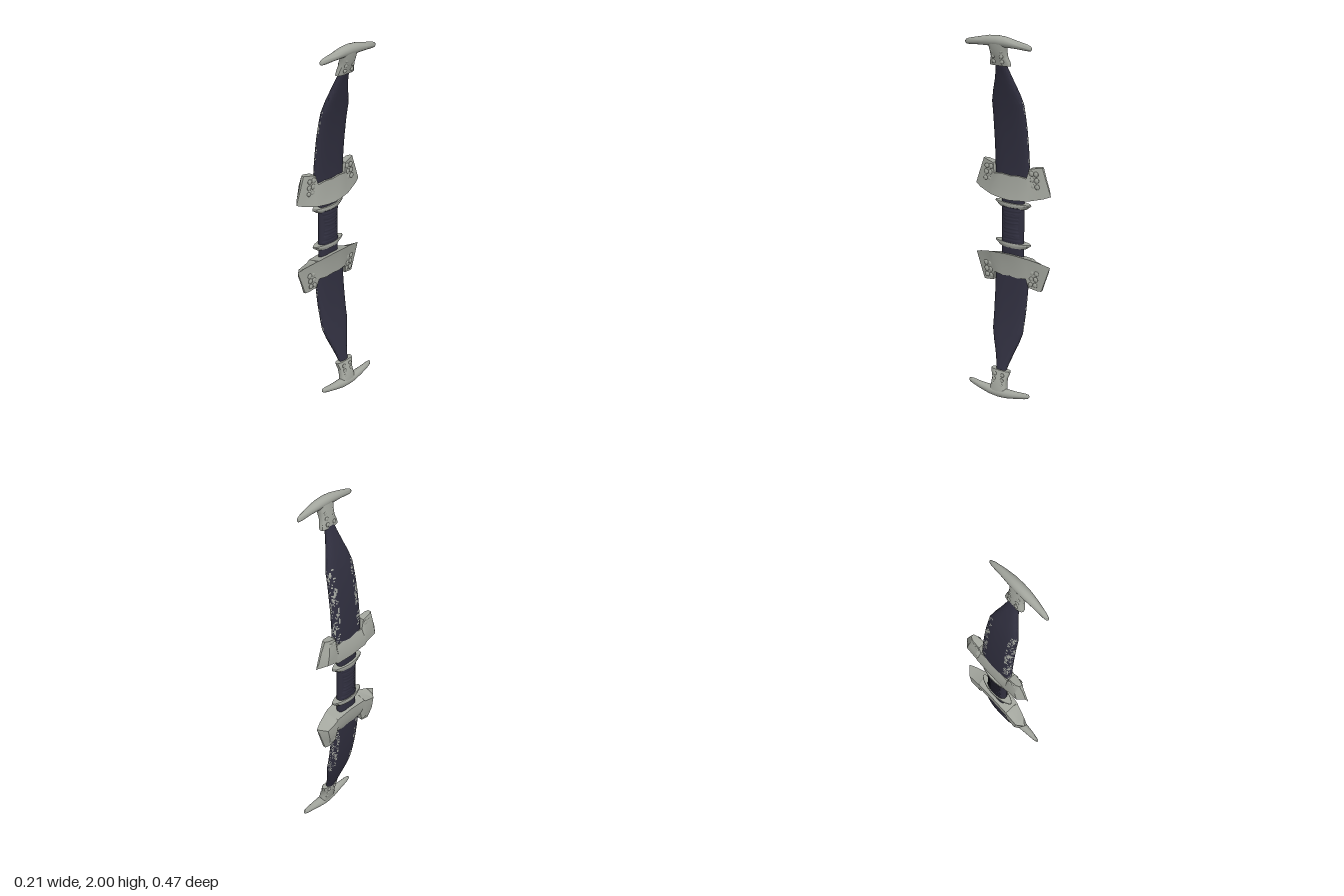
import * as THREE from 'three';
import { toCreasedNormals } from 'three/addons/utils/BufferGeometryUtils.js';

const dark = new THREE.MeshStandardMaterial({ color: 0x302f3f });
dark.name = 'dark navy';
const grey = new THREE.MeshStandardMaterial({ color: 0xa3a69e });
grey.name = 'stone grey';

let seed = 7;
const rand = () => (seed = (seed * 16807) % 2147483647) / 2147483647;
const V = (x, y, z) => new THREE.Vector3(x, y, z);
const spow = (v, e) => Math.sign(v) * Math.abs(v) ** e;

// Capped skin over closed rings of points; paint(i, j) picks the second material.
function loft(name, rings, material, crease = 0.7, paint = null) {
  const lists = [[], []];
  let volume = 0;
  const tri = (k, a, b, c) => {
    lists[k].push([a, b, c]);
    volume += a.dot(b.clone().cross(c));
  };
  const n = rings[0].length;
  for (let i = 0; i < rings.length - 1; i++) {
    for (let j = 0; j < n; j++) {
      const a = rings[i][j], b = rings[i][(j + 1) % n];
      const c = rings[i + 1][(j + 1) % n], d = rings[i + 1][j];
      tri(paint && paint(i, j) ? 1 : 0, a, b, c);
      tri(paint && paint(i, j) ? 1 : 0, a, c, d);
    }
  }
  const cap = (ring, flip) => {
    const mid = ring.reduce((s, p) => s.add(p), V(0, 0, 0)).divideScalar(n);
    ring.forEach((p, j) => {
      const q = ring[(j + 1) % n];
      if (flip) tri(0, mid, q, p); else tri(0, mid, p, q);
    });
  };
  cap(rings[0], true);
  cap(rings[rings.length - 1], false);

  const all = [...lists[0], ...lists[1]];
  const pos = all.flatMap(([a, b, c]) => (volume < 0 ? [a, c, b] : [a, b, c]).flatMap((p) => [p.x, p.y, p.z]));
  let geo = new THREE.BufferGeometry();
  geo.setAttribute('position', new THREE.Float32BufferAttribute(pos, 3));
  geo = toCreasedNormals(geo, crease);
  if (paint) {
    geo.addGroup(0, lists[0].length * 3, 0);
    geo.addGroup(lists[0].length * 3, lists[1].length * 3, 1);
  }
  const mesh = new THREE.Mesh(geo, paint ? [material, grey] : material);
  mesh.name = name;
  return mesh;
}

// Interpolates rows of [key, ...values] by key.
function sample(rows, key) {
  let i = 0;
  while (i < rows.length - 2 && key > rows[i + 1][0]) i++;
  const [a, b] = [rows[i], rows[i + 1]];
  const t = THREE.MathUtils.clamp((key - a[0]) / (b[0] - a[0]), 0, 1);
  return a.map((v, k) => v + (b[k] - v) * t);
}

// Horizontal rounded section
const oval = (cx, y, hx, hz, n = 24, e = 1) => Array.from({ length: n }, (_, j) => {
  const t = (j / n) * Math.PI * 2;
  return V(cx + hx * spow(Math.cos(t), e), y, hz * spow(Math.sin(t), e));
});

// Limb: y, half thickness, half width
const limbShape = [[1.14, 0.024, 0.104], [1.3, 0.024, 0.104], [1.5, 0.024, 0.1], [1.64, 0.024, 0.094],
  [1.7, 0.023, 0.077], [1.76, 0.021, 0.055], [1.82, 0.018, 0.036], [1.87, 0.016, 0.026], [1.91, 0.014, 0.02]];
const limbPath = new THREE.CatmullRomCurve3([V(-0.067, 1.1, 0), V(-0.063, 1.3, 0), V(-0.043, 1.5, 0),
  V(-0.015, 1.65, 0), V(0.022, 1.78, 0), V(0.05, 1.86, 0), V(0.066, 1.92, 0)]);
const pathPoints = limbPath.getPoints(120).map((p) => [p.y, p.x]);

function limb(name, flip, start) {
  const rows = 100, n = 48, ys = [], rings = [];
  for (let i = 0; i <= rows; i++) {
    const y = start + (1.91 - start) * (i / rows);
    const [, hx, hz] = sample(limbShape, y);
    ys.push(y);
    rings.push(oval(sample(pathPoints, y)[1], flip(y), hx, hz, n, 0.72));
  }
  // Worn pale flecks along the two rounded outer edges
  const flecks = ys.map((y) => Array.from({ length: n }, (_, j) => {
    const t = ((j + 0.5) / n) * Math.PI * 2;
    const edge = Math.cos(t) < 0.15 && Math.cos(t) > -0.85;
    const clump = 0.3 + 0.25 * Math.sin(y * 43 + 2 * Math.sin(t * 3)) + 0.1 * Math.sin(y * 97 + t * 9);
    return edge && y < 1.66 && rand() < clump;
  }));
  return loft(name, rings, dark, 0.9, (i, j) => flecks[i][j]);
}

// Guard stations: bottom z, top z, bottom y, top y, back x, lower front x, upper front x
const guardHalf = [
  [0.234, 0.182, 1.16, 1.308, -0.073, -0.064, -0.062],
  [0.196, 0.162, 1.145, 1.306, -0.105, -0.05, -0.054],
  [0.125, 0.112, 1.127, 1.295, -0.105, -0.03, -0.046],
  [0.112, 0.1, 1.125, 1.243, -0.105, -0.026, -0.036],
  [0.05, 0.05, 1.118, 1.25, -0.105, -0.018, -0.032]];
const guardCentre = [0, 0, 1.115, 1.245, -0.105, -0.015, -0.031];

function guard(name, flip) {
  const mirrored = guardHalf.map(([a, b, ...r]) => [-a, -b, ...r]).reverse();
  const rings = [...guardHalf, guardCentre, ...mirrored].map(([zb, zt, yb, yt, xb, xf, xt]) => {
    const h = yt - yb;
    const at = (x, k) => V(x, flip(yb + h * k), zb + (zt - zb) * k);
    return [at(xb, 0.2), at(xf, 0), at((xf + 2 * xt) / 3, 0.4), at(xt, 1), at((xb + 0.09) * 0.3 - 0.083, 1), at(xb, 0.6)];
  });
  const group = new THREE.Group();
  group.name = name;
  group.add(loft(name + 'Plate', rings, grey, 0.6));
  // Carved lumps on both faces of the wings
  for (const s of [-1, 1]) for (let r = 0; r < 3; r++) for (let c = 0; c < 2; c++) {
    const bump = new THREE.Mesh(new THREE.IcosahedronGeometry(0.015, 1), grey);
    bump.name = 'carvedLump';
    bump.scale.set(0.4, 0.8 + rand() * 0.3, 1);
    bump.position.set(-0.047, flip(1.205 + r * 0.034), s * (0.133 + c * 0.028 - r * 0.004));
    bump.rotation.x = rand() * 3;
    const back = bump.clone();
    back.position.x = -0.099 + r * 0.004;
    group.add(bump, back);
  }
  return group;
}

// Tip: carved socket and curved crossbar
const socketShape = [[1.845, 0.05, 0.019, 0.06], [1.865, 0.054, 0.022, 0.056], [1.89, 0.06, 0.025, 0.046],
  [1.925, 0.07, 0.028, 0.046], [1.965, 0.077, 0.026, 0.055]];
// |z|, low y, high y, low x, high x
const barShape = [[0, 1.943, 2, 0.05, 0.105], [0.05, 1.943, 1.996, 0.052, 0.104], [0.11, 1.942, 1.983, 0.058, 0.098],
  [0.17, 1.937, 1.97, 0.062, 0.088], [0.19, 1.938, 1.962, 0.066, 0.082], [0.196, 1.944, 1.956, 0.07, 0.077]];

function tip(name, flip) {
  const group = new THREE.Group();
  group.name = name;
  const socket = socketShape.map(([y, cx, hx, hz]) => oval(cx, flip(y), hx, hz, 16, 0.7));
  const stations = [...barShape, ...barShape.slice(1).map(([z, ...r]) => [-z, ...r])].sort((a, b) => a[0] - b[0]);
  const bar = stations.map(([z, y0, y1, x0, x1]) => Array.from({ length: 16 }, (_, j) => {
    const t = (j / 16) * Math.PI * 2;
    return V((x0 + x1) / 2 + ((x1 - x0) / 2) * Math.cos(t), flip((y0 + y1) / 2 + ((y1 - y0) / 2) * Math.sin(t)), z);
  }));
  group.add(loft('tipSocket', socket, grey), loft('tipCrossbar', bar, grey, 1));
  for (const s of [-1, 1]) for (let r = 0; r < 3; r++) for (const side of [-1, 1]) {
    const lump = new THREE.Mesh(new THREE.IcosahedronGeometry(0.012, 1), grey);
    lump.name = 'socketLump';
    lump.scale.x = 0.5;
    lump.position.set(0.055 + r * 0.007 + side * 0.021, flip(1.868 + r * 0.028), s * 0.024);
    group.add(lump);
  }
  return group;
}

export function createModel() {
  const model = new THREE.Group();
  model.name = 'bow';
  const same = (y) => y;
  const flipLimb = (y) => 2 - y;
  const flipGuard = (y) => 1.925 - y;
  model.add(limb('upperLimb', same, 1.16), limb('lowerLimb', flipLimb, 1.24));
  model.add(guard('upperGuard', same), guard('lowerGuard', flipGuard));
  model.add(tip('upperTip', same), tip('lowerTip', flipLimb));

  // Waisted grip core, and the ridged wrap around it
  const core = [0.73, 0.86, 1.07, 1.2].map((y) => oval(-0.067, y, 0.023, 0.067, 24, 0.7));
  model.add(loft('gripCore', core, dark));
  const wrap = [];
  for (let i = 0; i <= 48; i++) {
    const k = i / 48, ridge = 0.0015 * Math.cos(k * Math.PI * 24);
    const waist = 0.053 + 0.014 * Math.min(1, (2 * k - 1) ** 2 * 1.2);
    wrap.push(oval(-0.067, 0.862 + 0.206 * k, 0.031 + ridge, waist + ridge, 24, 0.8));
  }
  model.add(loft('gripWrap', wrap, dark, 1));

  // Collars at the ends of the grip
  for (const y of [0.854, 1.077]) {
    const collar = [[-0.015, 0.032, 0.084], [-0.004, 0.035, 0.098], [0.006, 0.037, 0.112], [0.013, 0.035, 0.11]]
      .map(([d, hx, hz]) => oval(-0.069, y + d, hx, hz, 24, 1.15));
    model.add(loft('gripCollar', collar, grey));
  }
  return model;
}
